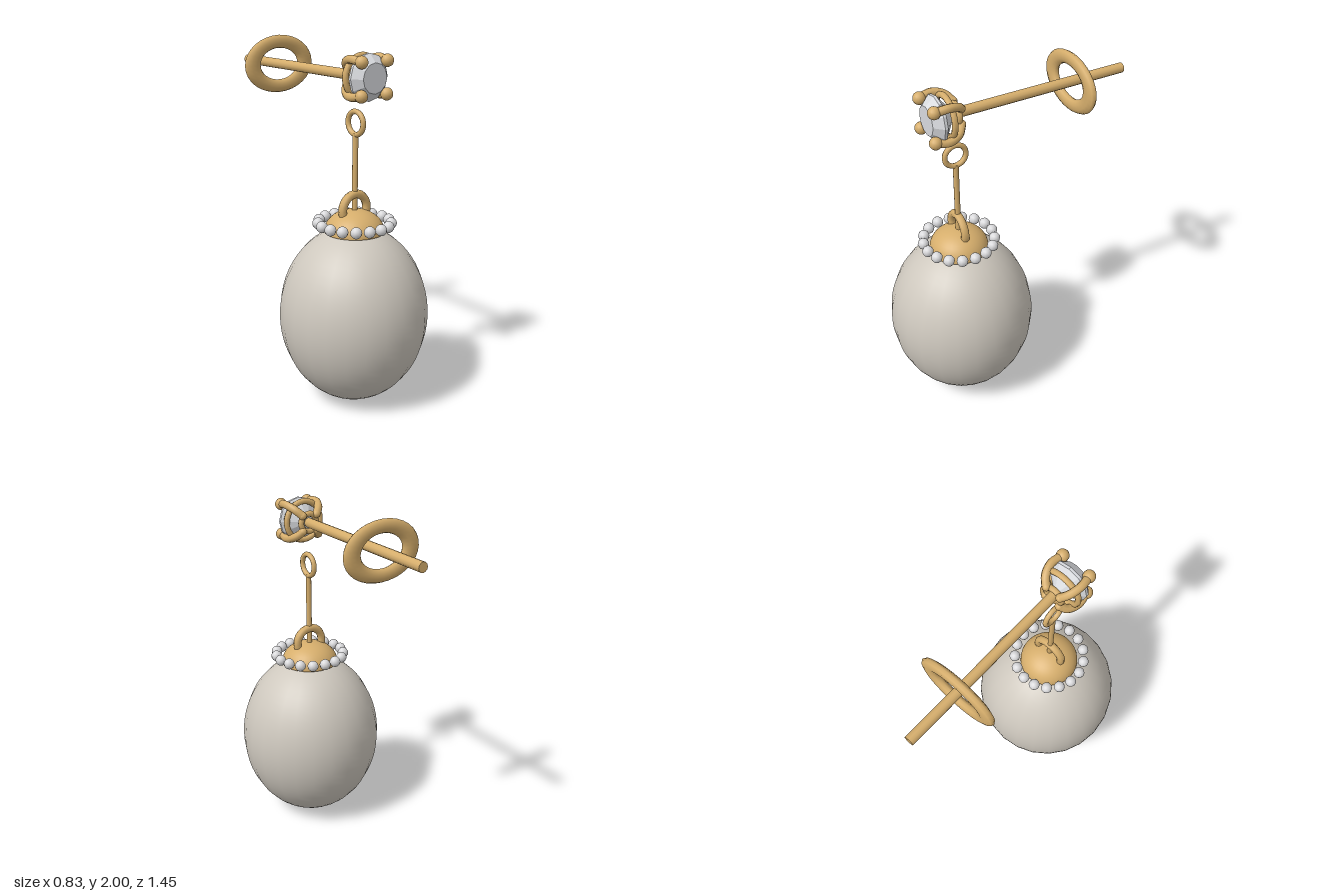
import * as THREE from 'three';

export function createModel() {
  const group = new THREE.Group();
  const material = (name, color, extra = {}) => {
    const m = new THREE.MeshStandardMaterial({ color, ...extra });
    m.name = name;
    return m;
  };
  const gold = material('gold', 0xd6ae6c);
  const pearlGrey = material('pearlGrey', 0xcec8be);
  const silver = material('silver', 0xdadadc);
  const crystal = material('crystal', 0xd8dade, { flatShading: true });

  const Z = 0.305;      // axis of the hanging drop
  const STUD_Y = 1.835; // axis of the ear post

  const add = (name, geometry, mat, x, y, z, parent = group) => {
    const mesh = new THREE.Mesh(geometry, mat);
    mesh.name = name;
    mesh.position.set(x, y, z);
    parent.add(mesh);
    return mesh;
  };

  // Egg-shaped drop
  add('pearlDrop', new THREE.SphereGeometry(1, 24, 32), pearlGrey, 0, 0.51, Z)
    .scale.set(0.416, 0.505, 0.416);

  // Domed cap, closed underneath
  add('capDome', new THREE.SphereGeometry(1, 32, 12, 0, Math.PI * 2, 0, Math.PI / 2), gold, 0, 0.985, Z)
    .scale.set(0.166, 0.125, 0.166);
  add('capBase', new THREE.CircleGeometry(0.166, 32), gold, 0, 0.985, Z).rotation.x = Math.PI / 2;

  // Circle of small beads
  const beads = new THREE.Group();
  beads.name = 'beadRing';
  group.add(beads);
  const beadGeometry = new THREE.SphereGeometry(0.032, 10, 8);
  for (let i = 0; i < 17; i++) {
    const a = (i / 17) * Math.PI * 2;
    add('bead', beadGeometry, silver, Math.cos(a) * 0.2, 1.036, Z + Math.sin(a) * 0.2, beads);
  }

  // Bail, hanging wire and top loop
  add('bail', new THREE.TorusGeometry(0.084, 0.024, 8, 24), gold, 0, 1.112, Z);
  add('hangingWire', new THREE.CylinderGeometry(0.016, 0.016, 0.44, 10), gold, 0, 1.31, Z);
  add('wireLoop', new THREE.TorusGeometry(0.062, 0.015, 8, 28), gold, 0, 1.585, Z).rotation.y = Math.PI / 2;

  // Ear post and oval clutch
  add('earPost', new THREE.CylinderGeometry(0.028, 0.028, 1.02, 12), gold, 0, STUD_Y, -0.215).rotation.x = Math.PI / 2;
  add('clutch', new THREE.TorusGeometry(0.183, 0.053, 10, 32), gold, 0, STUD_Y, -0.395)
    .scale.set(1, 0.7, 0.46);

  // Faceted stone: pavilion, crown and table, turned to face forward
  const stone = new THREE.LatheGeometry([
    [0, 0.3], [0.125, 0.395], [0.125, 0.41], [0.08, 0.457], [0, 0.457],
  ].map(([r, z]) => new THREE.Vector2(r, z)), 12);
  add('stone', stone, crystal, 0, STUD_Y, 0).rotation.x = Math.PI / 2;

  // Basket rings and four ball-tipped prongs
  add('upperBasketRing', new THREE.TorusGeometry(0.11, 0.017, 8, 28), gold, 0, STUD_Y, 0.35);
  add('lowerBasketRing', new THREE.TorusGeometry(0.05, 0.017, 8, 24), gold, 0, STUD_Y, 0.294);
  for (const sx of [-1, 1]) {
    for (const sy of [-1, 1]) {
      const path = new THREE.CatmullRomCurve3(
        [[0.045, 0.283], [0.078, 0.315], [0.096, 0.375], [0.086, 0.45]]
          .map(([d, z]) => new THREE.Vector3(sx * d, sy * d, z)));
      add('prong', new THREE.TubeGeometry(path, 14, 0.023, 8), gold, 0, STUD_Y, 0);
      add('prongRoot', new THREE.SphereGeometry(0.023, 10, 8), gold, sx * 0.045, STUD_Y + sy * 0.045, 0.283);
      add('prongTip', new THREE.SphereGeometry(0.034, 14, 10), gold, sx * 0.086, STUD_Y + sy * 0.086, 0.45);
    }
  }
  return group;
}
